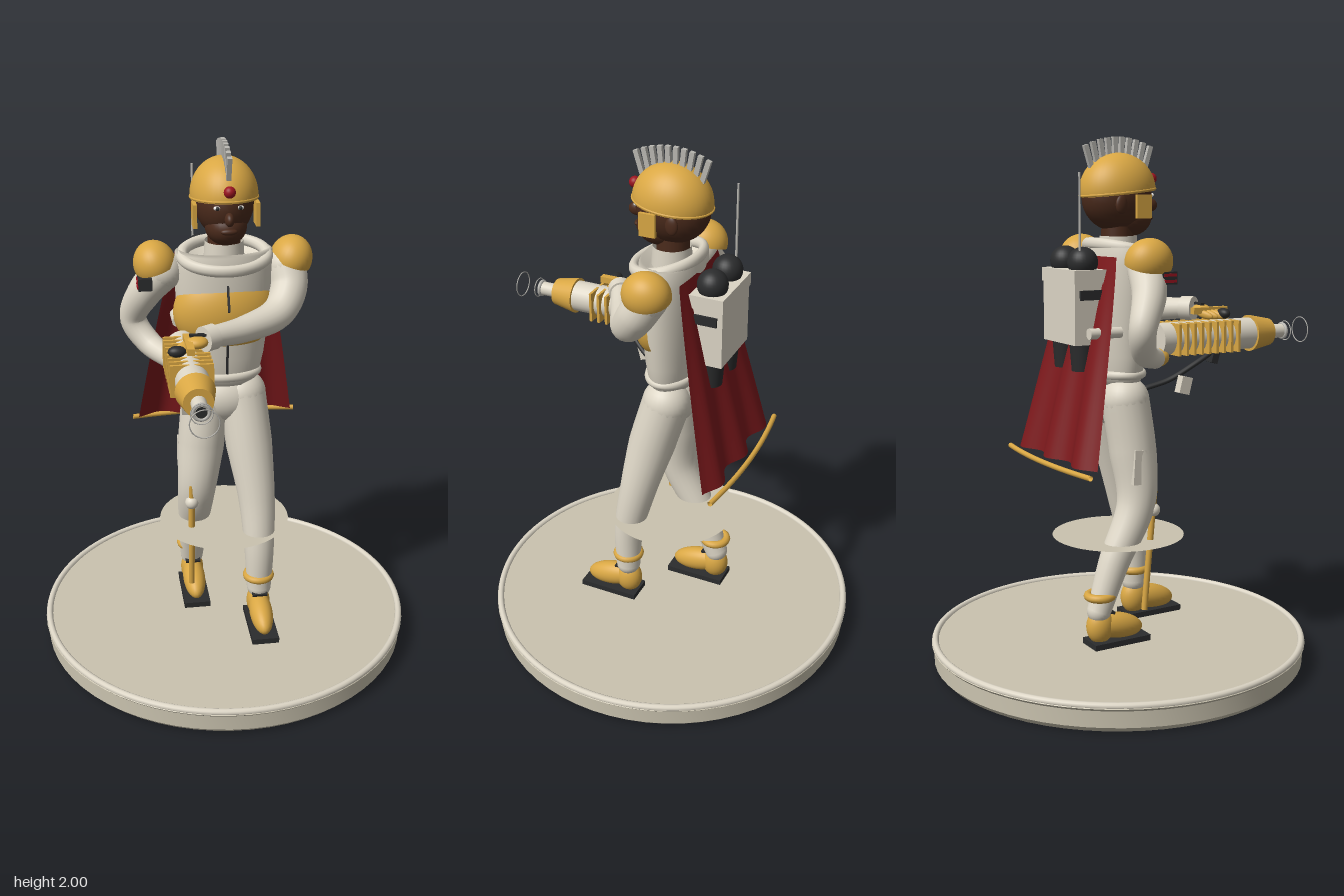
import * as THREE from 'three';
import { toCreasedNormals } from 'three/addons/utils/BufferGeometryUtils.js';

const mat = (name, color, side = THREE.FrontSide) => {
  const m = new THREE.MeshStandardMaterial({ color, side });
  m.name = name;
  return m;
};
const V = (x, y, z) => new THREE.Vector3(x, y, z);

export function createModel() {
  const root = new THREE.Group();
  root.name = 'soldierFigure';
  const cream = mat('cream', 0xdcd5c5, THREE.DoubleSide);
  const stone = mat('stone', 0xcac3af, THREE.DoubleSide);
  const gold = mat('gold', 0xd9a744, THREE.DoubleSide);
  const red = mat('capeRed', 0x7c191c, THREE.DoubleSide);
  const black = mat('black', 0x2b2c2d);
  const skin = mat('skin', 0x4a2a1b);
  const steel = mat('steel', 0xb9b7b1);
  const gem = mat('gemRed', 0x9c1420);
  const white = mat('eyeWhite', 0xf0eeea);

  const add = (name, geo, m, pos = [0, 0, 0], rot = [0, 0, 0], scale = [1, 1, 1], parent = root) => {
    const mesh = new THREE.Mesh(geo, m);
    mesh.name = name;
    mesh.position.set(...pos);
    mesh.rotation.set(...rot);
    mesh.scale.set(...scale);
    parent.add(mesh);
    return mesh;
  };
  const ball = (name, m, pos, r, rot) => add(name, new THREE.SphereGeometry(1, 28, 18), m, pos, rot, r);
  const box = (name, m, pos, size, rot) => add(name, new THREE.BoxGeometry(...size), m, pos, rot);
  const cyl = (name, m, pos, rTop, rBottom, h, rot) =>
    add(name, new THREE.CylinderGeometry(rTop, rBottom, h, 28), m, pos, rot);
  const rod = (name, m, a, b, r) => {
    const mesh = cyl(name, m, [0, 0, 0], r, r, a.distanceTo(b));
    mesh.position.copy(a).lerp(b, 0.5);
    mesh.quaternion.setFromUnitVectors(V(0, 1, 0), b.clone().sub(a).normalize());
  };
  // Tube whose radius changes smoothly along its path
  const limb = (name, m, pts, radii) => {
    const curve = new THREE.CatmullRomCurve3(pts.map((p) => V(...p)));
    const seg = 36, sides = 20;
    const geo = new THREE.TubeGeometry(curve, seg, 1, sides);
    const p = geo.attributes.position, v = V(0, 0, 0);
    for (let i = 0; i <= seg; i++) {
      const c = curve.getPointAt(i / seg);
      const f = (i / seg) * (radii.length - 1), k = Math.min(Math.floor(f), radii.length - 2);
      const r = THREE.MathUtils.lerp(radii[k], radii[k + 1], f - k);
      for (let j = 0; j <= sides; j++) {
        const n = i * (sides + 1) + j;
        v.fromBufferAttribute(p, n).sub(c).multiplyScalar(r).add(c);
        p.setXYZ(n, v.x, v.y, v.z);
      }
    }
    geo.computeBoundingSphere();
    add(name, geo, m);
    ball(name + 'Start', m, pts[0], [radii[0], radii[0], radii[0]]);
    const e = radii[radii.length - 1];
    ball(name + 'End', m, pts[pts.length - 1], [e, e, e]);
  };
  const lathe = (pts) => new THREE.LatheGeometry(pts.map(([x, y]) => new THREE.Vector2(x, y)), 64);

  // Display base and the thin disc above it
  add('base', toCreasedNormals(lathe([[0, 0], [0.7, 0], [0.718, 0.02], [0.718, 0.08], [0.727, 0.09], [0.72, 0.098], [0, 0.098]]), 0.6), stone);
  add('baseRim', new THREE.TorusGeometry(0.713, 0.013, 10, 96), cream, [0, 0.097, 0], [Math.PI / 2, 0, 0]);
  add('thinDisc', new THREE.CircleGeometry(0.255, 48), stone, [0, 0.495, 0], [-Math.PI / 2, 0, 0]);

  // Legs, ankle cuffs and boots
  ball('pelvis', cream, [0, 1.02, -0.01], [0.145, 0.1, 0.096]);
  limb('leftLeg', cream, [[0.07, 1.03, -0.01], [0.09, 0.85, 0.04], [0.115, 0.62, 0.095], [0.12, 0.42, 0.135], [0.12, 0.25, 0.14]],
    [0.092, 0.09, 0.073, 0.06, 0.048]);
  limb('rightLeg', cream, [[-0.07, 1.03, -0.01], [-0.09, 0.85, 0.01], [-0.11, 0.64, 0.015], [-0.115, 0.42, -0.085], [-0.115, 0.24, -0.15]],
    [0.092, 0.09, 0.072, 0.06, 0.046]);
  for (const [side, x, z, cuffZ] of [['left', 0.118, 0.14, 0.14], ['right', -0.115, -0.145, -0.145]]) {
    add(side + 'AnkleCuff', new THREE.TorusGeometry(0.046, 0.016, 10, 32), gold, [x, 0.3, cuffZ], [Math.PI / 2, 0, 0]);
    box(side + 'Sole', black, [x, 0.115, z + 0.073], [0.105, 0.022, 0.24]);
    ball(side + 'Boot', gold, [x, 0.172, z + 0.07], [0.045, 0.05, 0.115], [0.22, 0, 0]);
    ball(side + 'BootHeel', gold, [x, 0.18, z], [0.046, 0.068, 0.055]);
    box(side + 'BootStrap', black, [x, 0.235, z + 0.035], [0.06, 0.01, 0.03], [0.3, 0, 0]);
  }

  // Torso with an open cowl around the neck
  const torso = lathe([[0, 1.09], [0.12, 1.09], [0.135, 1.13], [0.15, 1.2], [0.165, 1.32], [0.178, 1.43], [0.182, 1.54],
    [0.178, 1.6], [0.165, 1.61], [0.13, 1.575], [0.075, 1.56], [0, 1.56]]);
  add('torso', torso, cream, [0, 0, -0.008], [0, 0, 0], [1, 1, 0.62]);
  add('cowl', new THREE.TorusGeometry(0.155, 0.022, 12, 48), cream, [0, 1.588, 0.012], [Math.PI / 2 + 0.22, 0, 0], [1, 0.78, 1]);
  add('collar', new THREE.CylinderGeometry(0.07, 0.076, 0.09, 32, 1, true), cream, [0, 1.595, 0]);
  add('belt', new THREE.TorusGeometry(0.128, 0.016, 10, 48), cream, [0, 1.13, -0.008], [Math.PI / 2, 0, 0], [1, 0.7, 1]);
  // Chest plate: front of an ellipsoid, cut flat along the bottom
  add('chestPlate', new THREE.SphereGeometry(1, 40, 20, Math.PI, -Math.PI, 0, 2.3), gold, [0, 1.375, 0.01], [0, 0, 0], [-0.19, 0.165, 0.117]);
  box('chestSeam', black, [0, 1.47, 0.112], [0.008, 0.13, 0.009], [-0.42, 0, 0]);
  box('waistSeam', black, [0, 1.215, 0.092], [0.008, 0.13, 0.009], [0.1, 0, 0]);

  // Head
  cyl('neck', skin, [0, 1.62, -0.005], 0.058, 0.062, 0.12);
  ball('head', skin, [0, 1.78, -0.005], [0.106, 0.125, 0.138]);
  ball('jaw', skin, [0, 1.705, 0.045], [0.075, 0.068, 0.088]);
  ball('nose', skin, [0, 1.752, 0.14], [0.017, 0.024, 0.028]);
  ball('lips', skin, [0, 1.705, 0.127], [0.03, 0.012, 0.014]);
  for (const s of [1, -1]) {
    const n = s > 0 ? 'left' : 'right';
    ball(n + 'Eye', white, [s * 0.04, 1.789, 0.119], [0.014, 0.008, 0.009]);
    ball(n + 'Pupil', black, [s * 0.04, 1.789, 0.125], [0.007, 0.007, 0.006]);
    ball(n + 'Ear', skin, [s * 0.104, 1.755, -0.045], [0.012, 0.034, 0.024]);
    box(n + 'CheekGuard', gold, [s * 0.112, 1.748, 0.043], [0.014, 0.085, 0.062]);
  }
  // Helmet with gem and crest
  add('helmet', new THREE.SphereGeometry(1, 40, 20, 0, Math.PI * 2, 0, 1.65), gold, [0, 1.805, -0.003], [-0.1, 0, 0], [0.122, 0.138, 0.148]);
  add('helmetRim', new THREE.TorusGeometry(1, 0.04, 8, 48), gold, [0, 1.8, -0.003], [Math.PI / 2 - 0.1, 0, 0], [0.12, 0.146, 0.12]);
  ball('helmetGem', gem, [0, 1.85, 0.143], [0.021, 0.021, 0.021]);
  for (let i = 0; i < 10; i++) {
    const t = (i / 9) * 2 - 1;
    box('crestSpike', steel, [0, 1.958 - 0.03 * t * t, -t * 0.125], [0.017, 0.085, 0.018], [-t * 0.3, 0, 0]);
  }

  // Shoulder pads
  for (const s of [1, -1]) {
    add(s > 0 ? 'leftShoulderPad' : 'rightShoulderPad', new THREE.SphereGeometry(1, 32, 16, 0, Math.PI * 2, 0, 1.75), gold,
      [s * 0.25, 1.555, -0.018], [0, 0, -s * 0.32], [0.078, 0.086, 0.09]);
  }

  // Arms, cuffs and gloves
  limb('rightArm', cream, [[-0.22, 1.53, -0.01], [-0.29, 1.44, -0.04], [-0.33, 1.32, -0.09], [-0.275, 1.235, -0.05], [-0.2, 1.2, 0.04]],
    [0.07, 0.062, 0.05, 0.046, 0.038]);
  limb('leftArm', cream, [[0.23, 1.53, -0.01], [0.235, 1.46, 0.03], [0.185, 1.385, 0.09], [0.05, 1.36, 0.175], [-0.08, 1.365, 0.25]],
    [0.075, 0.066, 0.055, 0.046, 0.038]);
  rod('leftCuff', cream, V(-0.07, 1.365, 0.243), V(-0.11, 1.365, 0.268), 0.046);
  ball('leftGlove', gold, [-0.135, 1.362, 0.285], [0.04, 0.022, 0.034]);
  for (let i = 0; i < 4; i++) {
    ball('leftFinger', gold, [-0.178 - i * 0.006, 1.348, 0.27 + i * 0.02], [0.038, 0.015, 0.011], [0, 0.45, 0.25]);
  }
  box('leftThumb', gold, [-0.165, 1.362, 0.3], [0.026, 0.024, 0.15]);
  ball('gloveTip', black, [-0.21, 1.352, 0.335], [0.032, 0.02, 0.022]);
  box('gloveStrap', black, [-0.13, 1.385, 0.275], [0.06, 0.009, 0.014]);
  ball('rightGlove', gold, [-0.185, 1.2, 0.06], [0.042, 0.034, 0.045]);
  box('armPatch', black, [-0.292, 1.5, 0.03], [0.05, 0.045, 0.06]);
  for (const y of [1.489, 1.511]) box('patchStripe', gem, [-0.318, y, 0.03], [0.006, 0.01, 0.05]);

  // Gun, pointing forward
  const gx = -0.165, gy = 1.265, fwd = [Math.PI / 2, 0, 0];
  cyl('gunBody', cream, [gx, gy, 0.28], 0.06, 0.06, 0.42, fwd);
  for (let i = 0; i < 9; i++) box('gunFin', gold, [gx, gy, 0.125 + i * 0.033], [0.152, 0.118, 0.01]);
  cyl('gunNozzle', gold, [gx, gy, 0.53], 0.052, 0.07, 0.092, fwd);
  cyl('gunBarrel', cream, [gx, gy, 0.61], 0.027, 0.027, 0.08, fwd);
  add('muzzleRim', new THREE.TorusGeometry(0.027, 0.007, 8, 32), steel, [gx, gy, 0.646]);
  cyl('muzzleBore', black, [gx, gy, 0.648], 0.02, 0.02, 0.006, fwd);
  for (const [z, r] of [[0.66, 0.037], [0.735, 0.049]]) {
    add('muzzleRing', new THREE.TorusGeometry(r, 0.002, 6, 40), steel, [gx, gy, z]);
  }
  box('gunGrip', black, [gx, 1.19, 0.325], [0.035, 0.06, 0.028], [0.3, 0, 0]);
  add('gunHose', new THREE.TubeGeometry(new THREE.CatmullRomCurve3(
    [V(gx, 1.21, 0.33), V(-0.15, 1.16, 0.25), V(-0.11, 1.1, 0.16), V(-0.08, 1.07, 0.07)]), 30, 0.01, 10), black);
  box('hangingPouch', cream, [gx, 1.085, 0.19], [0.035, 0.065, 0.045], [0.25, 0, 0]);

  // Side pouch and scabbard
  box('hipPouch', cream, [-0.165, 0.79, -0.005], [0.03, 0.13, 0.055], [0.06, 0, 0]);
  rod('scabbard', gold, V(-0.137, 0.69, 0.08), V(-0.137, 0.22, 0.037), 0.012);
  ball('scabbardKnob', cream, [-0.137, 0.61, 0.076], [0.026, 0.026, 0.026]);

  // Cape: a sheet that widens and folds towards the hem
  const cape = new THREE.PlaneGeometry(2, 1, 40, 24);
  const cp = cape.attributes.position;
  for (let i = 0; i < cp.count; i++) {
    const u = cp.getX(i), d = 0.5 - cp.getY(i);
    const half = 0.17 + 0.14 * Math.pow(d, 0.85);
    cp.setXYZ(i, u * half, 1.57 - 0.74 * d, -0.105 - 0.175 * d - 0.02 * d * Math.cos(u * 9) - 0.012 * (1 - u * u));
  }
  cape.computeVertexNormals();
  add('cape', cape, red);
  add('capeRod', new THREE.TubeGeometry(new THREE.QuadraticBezierCurve3(
    V(-0.33, 0.815, -0.3), V(0, 0.815, -0.352), V(0.33, 0.815, -0.3)), 24, 0.01, 10), gold);

  // Backpack with tanks and antenna
  box('backpack', cream, [0, 1.39, -0.187], [0.25, 0.27, 0.125]);
  box('backpackLid', cream, [0, 1.5, -0.187], [0.262, 0.05, 0.132]);
  box('backpackBand', black, [0, 1.435, -0.185], [0.268, 0.035, 0.09]);
  for (const x of [-0.068, 0.068]) {
    ball('tankDome', black, [x, 1.55, -0.187], [0.056, 0.056, 0.056]);
    cyl('tankBase', black, [x, 1.205, -0.187], 0.05, 0.042, 0.1);
    cyl('tankNozzle', gold, [x, 1.115, -0.155], 0.018, 0.014, 0.08);
  }
  cyl('antennaMount', cream, [-0.165, 1.3, -0.15], 0.02, 0.02, 0.13, fwd);
  cyl('antenna', steel, [-0.09, 1.67, -0.21], 0.004, 0.005, 0.4);
  return root;
}
